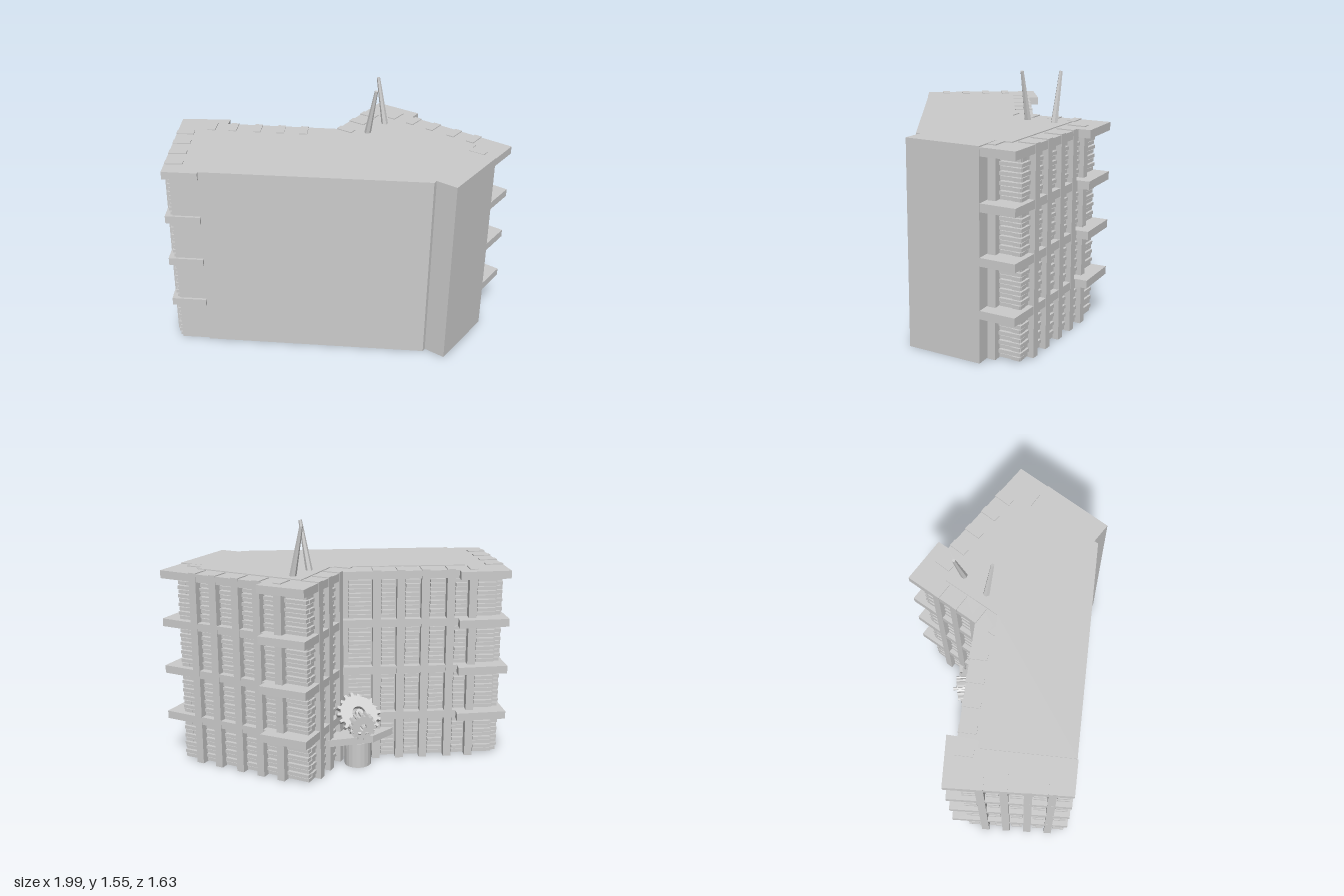
import * as THREE from 'three';
import { mergeGeometries } from 'three/addons/utils/BufferGeometryUtils.js';

const mat = new THREE.MeshStandardMaterial({ color: 0xcccccc, flatShading: true });
const FLOOR = 0.308, FLOORS = 4, ROOF = 1.245;

function add(parent, name, geo) {
  const m = new THREE.Mesh(geo, mat);
  m.name = name;
  parent.add(m);
  return m;
}

// Vertical prism over a plan outline of [x, z] points
function prism(points, y0, y1) {
  const shape = new THREE.Shape(points.map(([x, z]) => new THREE.Vector2(x, -z)));
  return new THREE.ExtrudeGeometry(shape, { depth: y1 - y0, bevelEnabled: false })
    .rotateX(-Math.PI / 2).translate(0, y0, 0);
}

function box(x0, x1, y0, y1, z0, z1) {
  return new THREE.BoxGeometry(x1 - x0, y1 - y0, z1 - z0)
    .translate((x0 + x1) / 2, (y0 + y1) / 2, (z0 + z1) / 2);
}

// Pilasters and louvre stacks along one wall; local x runs along the wall, z points outward
function facade(parent, name, [ox, oz], [nx, nz], pilasters, first, last) {
  const g = new THREE.Group();
  g.name = name;
  g.position.set(ox, 0, oz);
  g.rotation.y = Math.atan2(nx, nz);
  parent.add(g);

  add(g, 'pilasters', mergeGeometries(pilasters.map(
    t => box(t - 0.025, t + 0.025, 0, ROOF, -0.11, 0.003))));

  const stops = [first - 0.034, ...pilasters, last + 0.034];
  const slats = [];
  for (let i = 0; i < stops.length - 1; i++) {
    const a = stops[i] + 0.034, b = stops[i + 1] - 0.034;
    if (b - a < 0.02) continue;
    for (let f = 0; f < FLOORS; f++) {
      for (let s = 0; s < 9; s++) {
        const y = 0.012 + f * FLOOR + s * 0.0275;
        const out = s % 2 ? -0.022 : -0.03;
        slats.push(box(a, b, y, y + 0.021, -0.08, out));
      }
    }
  }
  add(g, 'louvres', mergeGeometries(slats));
}

// Toothed wheel with a round bore and a shaft, facing a direction
function gear(parent, name, r, teeth, thick, bore, pos, dir) {
  const pts = [];
  for (let i = 0; i < teeth; i++) {
    [[0, 0.84], [0.45, 0.84], [0.55, 1], [0.9, 1]].forEach(([k, s]) => {
      const a = (i + k) / teeth * Math.PI * 2;
      pts.push(new THREE.Vector2(Math.cos(a) * r * s, Math.sin(a) * r * s));
    });
  }
  const shape = new THREE.Shape(pts);
  shape.holes.push(new THREE.Path().absarc(0, 0, bore, 0, Math.PI * 2, true));
  const g = new THREE.Group();
  g.name = name;
  add(g, 'toothedWheel', new THREE.ExtrudeGeometry(shape,
    { depth: thick, bevelEnabled: false, curveSegments: 8 }).translate(0, 0, -thick / 2));
  add(g, 'shaft', new THREE.CylinderGeometry(bore * 0.55, bore * 0.55, thick * 1.8, 10).rotateX(Math.PI / 2));
  g.position.set(...pos);
  g.lookAt(pos[0] + dir[0], pos[1] + dir[1], pos[2] + dir[2]);
  parent.add(g);
}

// Tapered mast leaning from base to tip
function mast(parent, name, base, tip) {
  const a = new THREE.Vector3(...base), b = new THREE.Vector3(...tip);
  const m = add(parent, name, new THREE.CylinderGeometry(0.011, 0.022, a.distanceTo(b), 6));
  m.position.copy(a).add(b).multiplyScalar(0.5);
  m.quaternion.setFromUnitVectors(new THREE.Vector3(0, 1, 0), b.clone().sub(a).normalize());
}

export function createModel() {
  const model = new THREE.Group();
  model.name = 'building';

  // Solid core with the plain front and end walls
  add(model, 'core', prism([
    [0.83, 0.008], [-0.40, 0.70], [-0.69, 0.19], [0.0, -0.18], [0.06, -0.22], [0.06, -0.62],
    [0.80, -0.59], [0.80, -0.49], [0.985, -0.49], [0.97, -0.015], [0.83, -0.02],
  ], 0, ROOF));

  // Recessed walls behind the louvres
  add(model, 'recessedWalls', prism([
    [-0.895, 0.22], [-0.56, 0.78], [-0.405, 0.69], [0.4, 0.2], [0.84, -0.45],
    [0.85, -0.665], [-0.005, -0.70], [-0.005, -0.273],
  ], 0, ROOF - 0.03));

  // Floor slabs with overhanging corner balconies
  const slab = [
    [-1, 0.16], [-0.592, 0.815], [-0.40, 0.707], [-0.42, 0.66], [0.4, 0.2], [0.78, -0.3],
    [0.78, -0.485], [0.983, -0.485], [0.99, -0.71], [0.25, -0.745], [0.25, -0.82],
    [-0.06, -0.82], [-0.06, -0.30], [-0.70, 0.05], [-0.73, -0.01],
  ];
  for (let f = 0; f < FLOORS; f++) {
    const y = 0.265 + f * FLOOR;
    add(model, 'floorSlab' + (f + 1), prism(slab, y, y + 0.05));
  }

  // Ribbed walls
  facade(model, 'rightEndFacade', [-1, 0.16], [-0.846, 0.534], [0.215, 0.358, 0.502, 0.645], 0.10, 0.755);
  facade(model, 'rightBackFacade', [-0.06, -0.30], [-0.48, -0.877], [0.215, 0.366, 0.52, 0.68, 0.82], 0.04, 0.97);
  facade(model, 'innerFacade', [-0.06, -0.82], [-1, 0], [0.215, 0.35, 0.5, 0.645], 0.12, 0.66);
  facade(model, 'backFacade', [0.99, -0.71], [0.047, -0.999], [0.24, 0.385, 0.545, 0.695, 0.84], 0.11, 1.02);
  facade(model, 'leftEndFacade', [0.90, -0.49], [1, 0], [0.03], 0, 0.2);

  // Gear platform on a round pillar in the inner corner
  add(model, 'gearPlatform', prism(
    [[-0.34, -0.14], [-0.03, -0.28], [-0.05, -0.50], [-0.06, -0.50], [-0.28, -0.32]], 0.16, 0.205));
  add(model, 'platformPillar', new THREE.CylinderGeometry(0.085, 0.085, 0.16, 20)).position.set(-0.17, 0.08, -0.31);
  gear(model, 'largeGear', 0.145, 18, 0.03, 0.045, [-0.17, 0.33, -0.30], [-0.55, 0.7, -0.5]);
  gear(model, 'smallGear', 0.085, 14, 0.07, 0.022, [-0.215, 0.275, -0.35], [-0.65, 0, -0.76]);

  // Roof masts
  mast(model, 'backMast', [0.155, 1.235, -0.543], [0.088, 1.55, -0.552]);
  mast(model, 'frontMast', [0.135, 1.235, -0.358], [0.20, 1.55, -0.347]);

  return model;
}
